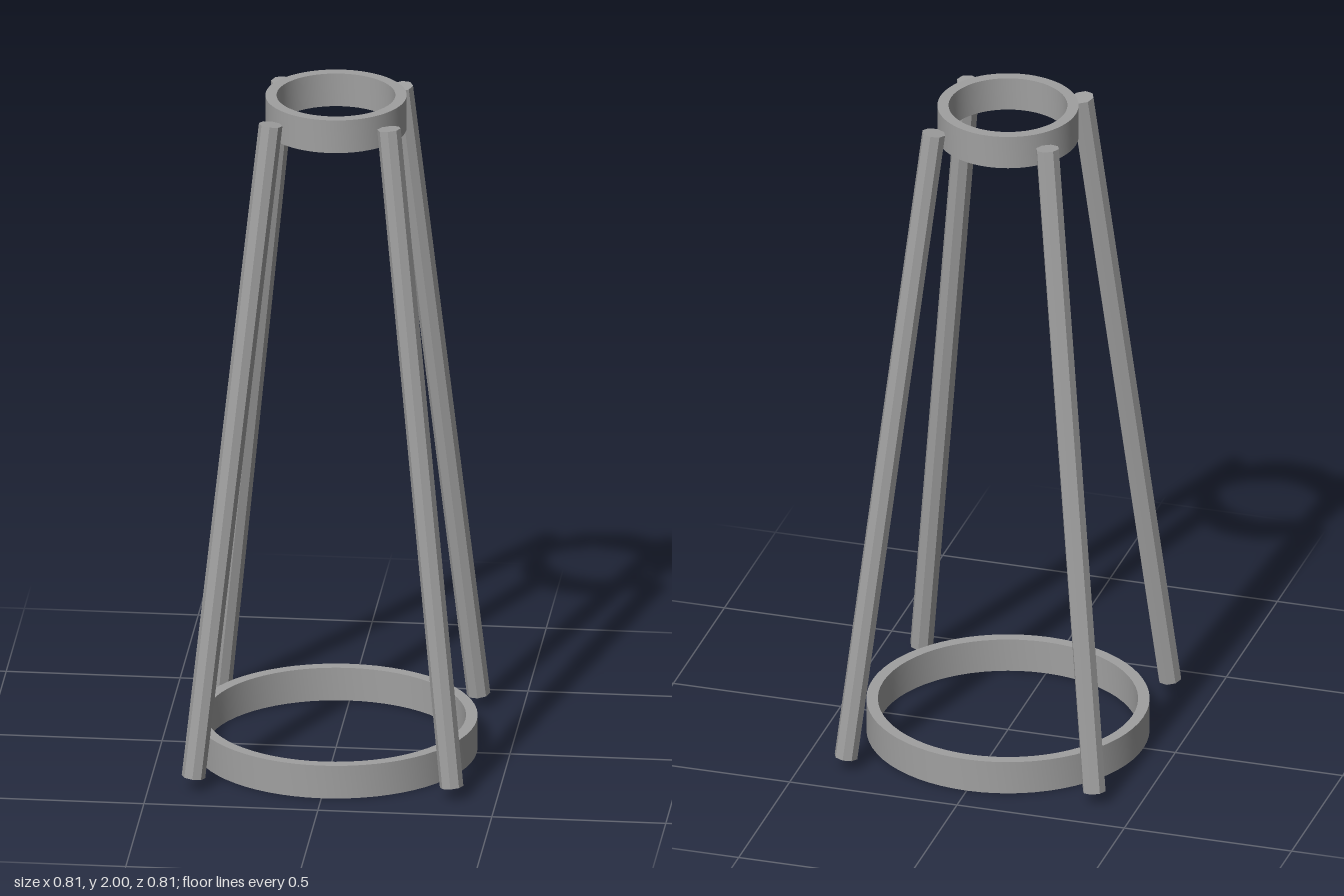
import * as THREE from 'three';
import { toCreasedNormals } from 'three/addons/utils/BufferGeometryUtils.js';

const UP = new THREE.Vector3(0, 1, 0);

// Rectangular-section band standing from y0 to y1
function makeRing(name, outer, inner, y0, y1, material) {
  const profile = [
    [outer, y0], [outer, y1], [inner, y1], [inner, y0], [outer, y0],
  ].map(([r, y]) => new THREE.Vector2(r, y));
  const geometry = toCreasedNormals(new THREE.LatheGeometry(profile, 64), 0.6);
  const ring = new THREE.Mesh(geometry, material);
  ring.name = name;
  return ring;
}

// Eight-sided rod between two points
function makeLeg(name, bottom, top, radius, material) {
  const axis = top.clone().sub(bottom);
  const rod = new THREE.CylinderGeometry(radius, radius, axis.length(), 8);
  const leg = new THREE.Mesh(toCreasedNormals(rod, 0.3), material);
  leg.position.copy(bottom).add(top).multiplyScalar(0.5);
  leg.quaternion.setFromUnitVectors(UP, axis.normalize());
  leg.name = name;
  return leg;
}

export function createModel() {
  const model = new THREE.Group();
  model.name = 'taperedStand';
  const grey = new THREE.MeshStandardMaterial({ color: 0xa0a0a0 });
  grey.name = 'grey metal';

  // Base and top bands
  model.add(makeRing('baseRing', 0.405, 0.372, 0, 0.1, grey));
  model.add(makeRing('topRing', 0.202, 0.17, 1.9, 2, grey));

  // Four splayed legs, one on each diagonal
  for (const sx of [1, -1]) {
    for (const sz of [1, -1]) {
      const name = (sz > 0 ? 'front' : 'back') + (sx > 0 ? 'Left' : 'Right') + 'Leg';
      const bottom = new THREE.Vector3(sx * 0.371, 0.038, sz * 0.371);
      const top = new THREE.Vector3(sx * 0.17, 1.968, sz * 0.17);
      model.add(makeLeg(name, bottom, top, 0.034, grey));
    }
  }
  return model;
}
